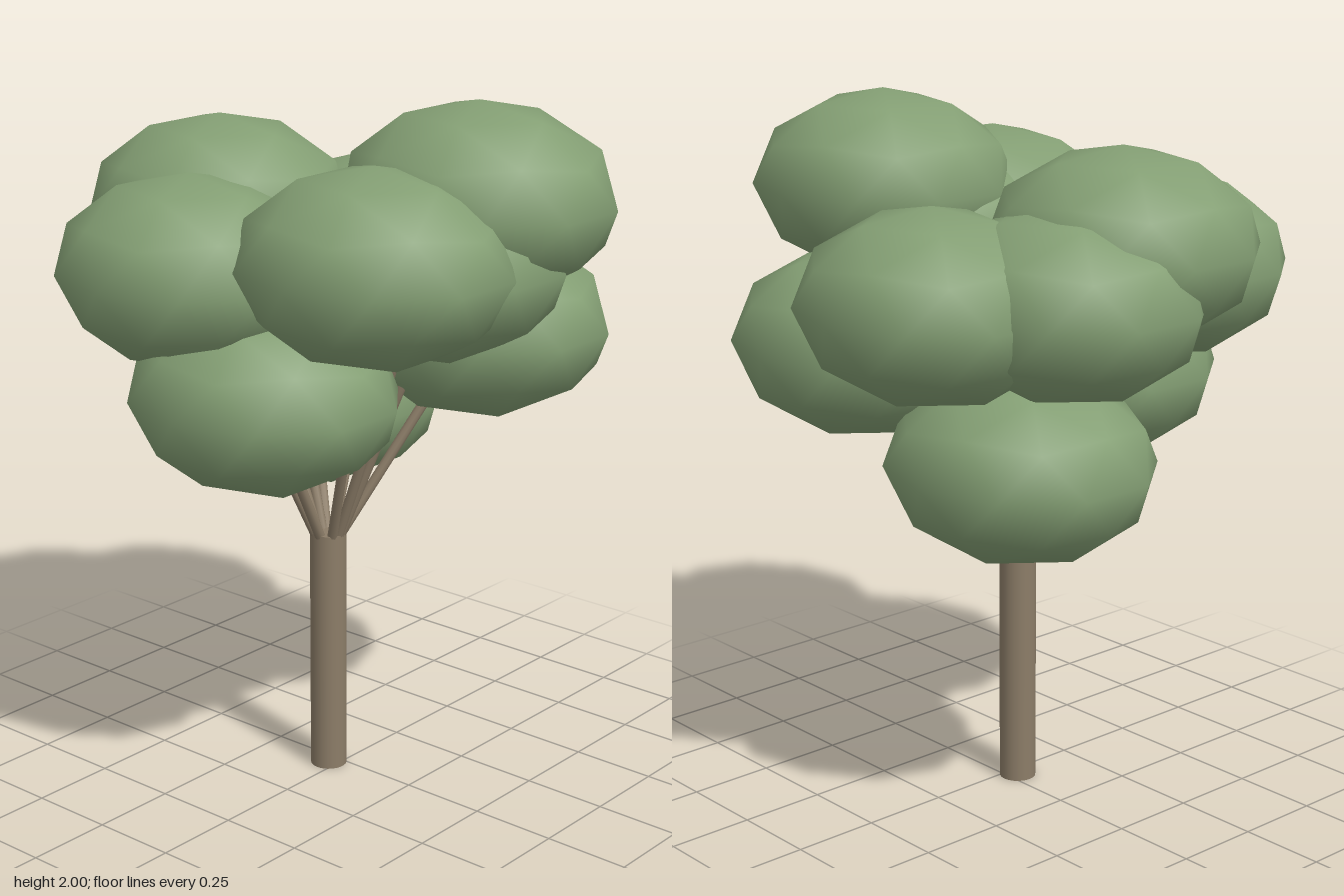
import * as THREE from 'three';

const bark = new THREE.MeshStandardMaterial({ color: 0x8c7d68 });
const leaf = new THREE.MeshStandardMaterial({ color: 0x849f74 });

// Centres of the leaf clumps
const CLUMPS = [
  [0.375, 1.735, -0.115], [-0.38, 1.64, 0.087], [-0.225, 1.535, 0.37],
  [0.315, 1.605, 0.245], [0.315, 1.58, 0.025], [-0.14, 1.5, -0.375],
  [0.23, 1.335, -0.31], [-0.38, 1.51, -0.11], [-0.01, 1.21, 0.32],
  [-0.277, 1.06, -0.185],
];
const TRUNK = new THREE.Vector3(-0.03, 0, 0.032);
const TRUNK_TOP = 0.73;

// Low-poly ball with a vertex at the pole, squashed, smooth normals
function clumpGeometry() {
  const g = new THREE.IcosahedronGeometry(1, 1);
  g.rotateX(-Math.atan((1 + Math.sqrt(5)) / 2));
  g.rotateY(Math.PI / 2);
  g.scale(0.394, 0.267, 0.36);
  return g;
}

// Tapered rod between two points
function rod(from, to, r0, r1) {
  const dir = to.clone().sub(from);
  const mesh = new THREE.Mesh(new THREE.CylinderGeometry(r1, r0, dir.length(), 10), bark);
  mesh.position.copy(from).addScaledVector(dir, 0.5);
  mesh.quaternion.setFromUnitVectors(new THREE.Vector3(0, 1, 0), dir.normalize());
  return mesh;
}

export function createModel() {
  const tree = new THREE.Group();
  tree.name = 'tree';

  const trunk = new THREE.Mesh(new THREE.CylinderGeometry(0.053, 0.053, TRUNK_TOP, 20), bark);
  trunk.name = 'trunk';
  trunk.position.set(TRUNK.x, TRUNK_TOP / 2, TRUNK.z);
  tree.add(trunk);

  // One branch from the trunk top to each clump
  const branches = new THREE.Group();
  branches.name = 'branches';
  const crown = new THREE.Group();
  crown.name = 'crown';
  const geometry = clumpGeometry();
  for (const c of CLUMPS) {
    const end = new THREE.Vector3(...c);
    const out = end.clone().sub(TRUNK).setY(0).normalize().multiplyScalar(0.034);
    const start = TRUNK.clone().add(out).setY(TRUNK_TOP - 0.015);
    const branch = rod(start, end, 0.015, 0.015);
    branch.name = 'branch';
    branches.add(branch);

    const clump = new THREE.Mesh(geometry, leaf);
    clump.name = 'leafClump';
    clump.position.copy(end);
    crown.add(clump);
  }
  tree.add(branches, crown);
  return tree;
}
